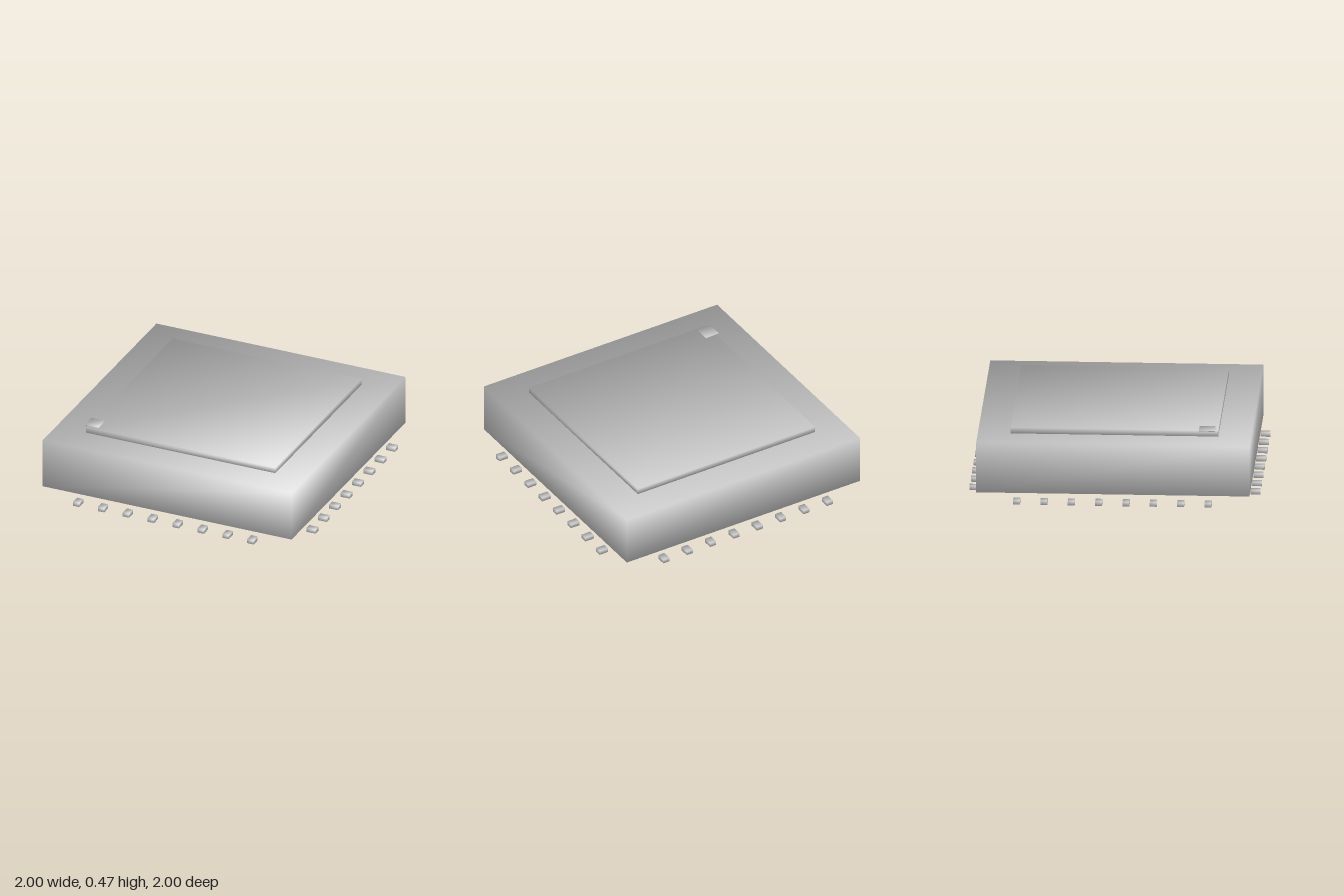
import * as THREE from 'three';

const grey = new THREE.MeshStandardMaterial({ color: 0xcccccc });
grey.name = 'plain grey';

// Box between two corners, with smooth normals shared at each corner
function softBox(name, [x0, y0, z0], [x1, y1, z1]) {
  const geometry = new THREE.BoxGeometry(x1 - x0, y1 - y0, z1 - z0);
  const position = geometry.attributes.position;
  const corner = new THREE.Vector3();
  for (let i = 0; i < position.count; i++) {
    corner.fromBufferAttribute(position, i);
    corner.set(Math.sign(corner.x), Math.sign(corner.y), Math.sign(corner.z)).normalize();
    geometry.attributes.normal.setXYZ(i, corner.x, corner.y, corner.z);
  }
  const mesh = new THREE.Mesh(geometry, grey);
  mesh.name = name;
  mesh.position.set((x0 + x1) / 2, (y0 + y1) / 2, (z0 + z1) / 2);
  return mesh;
}

export function createModel() {
  const model = new THREE.Group();
  model.name = 'chipPackage';

  // Package body, raised lid and the corner marker
  model.add(softBox('body', [-0.94, 0.065, -0.94], [0.938, 0.422, 0.938]));
  model.add(softBox('lid', [-0.715, 0.422, -0.715], [0.712, 0.464, 0.712]));
  model.add(softBox('cornerMarker', [-0.735, 0.462, 0.58], [-0.63, 0.47, 0.69]));

  // Eight contact pads along each of the four edges
  const pads = new THREE.Group();
  pads.name = 'contactPads';
  const pitch = 0.188, half = 0.024, inner = 0.932;
  for (let i = 0; i < 8; i++) {
    const c = (i - 3.5) * pitch - 0.002;
    pads.add(softBox('frontPad', [c - half, 0, inner], [c + half, 0.03, 1]));
    pads.add(softBox('backPad', [c - half, 0, -1], [c + half, 0.03, -inner]));
    pads.add(softBox('leftPad', [inner, 0, c - half], [1, 0.03, c + half]));
    pads.add(softBox('rightPad', [-1, 0, c - half], [-inner, 0.03, c + half]));
  }
  model.add(pads);
  return model;
}
